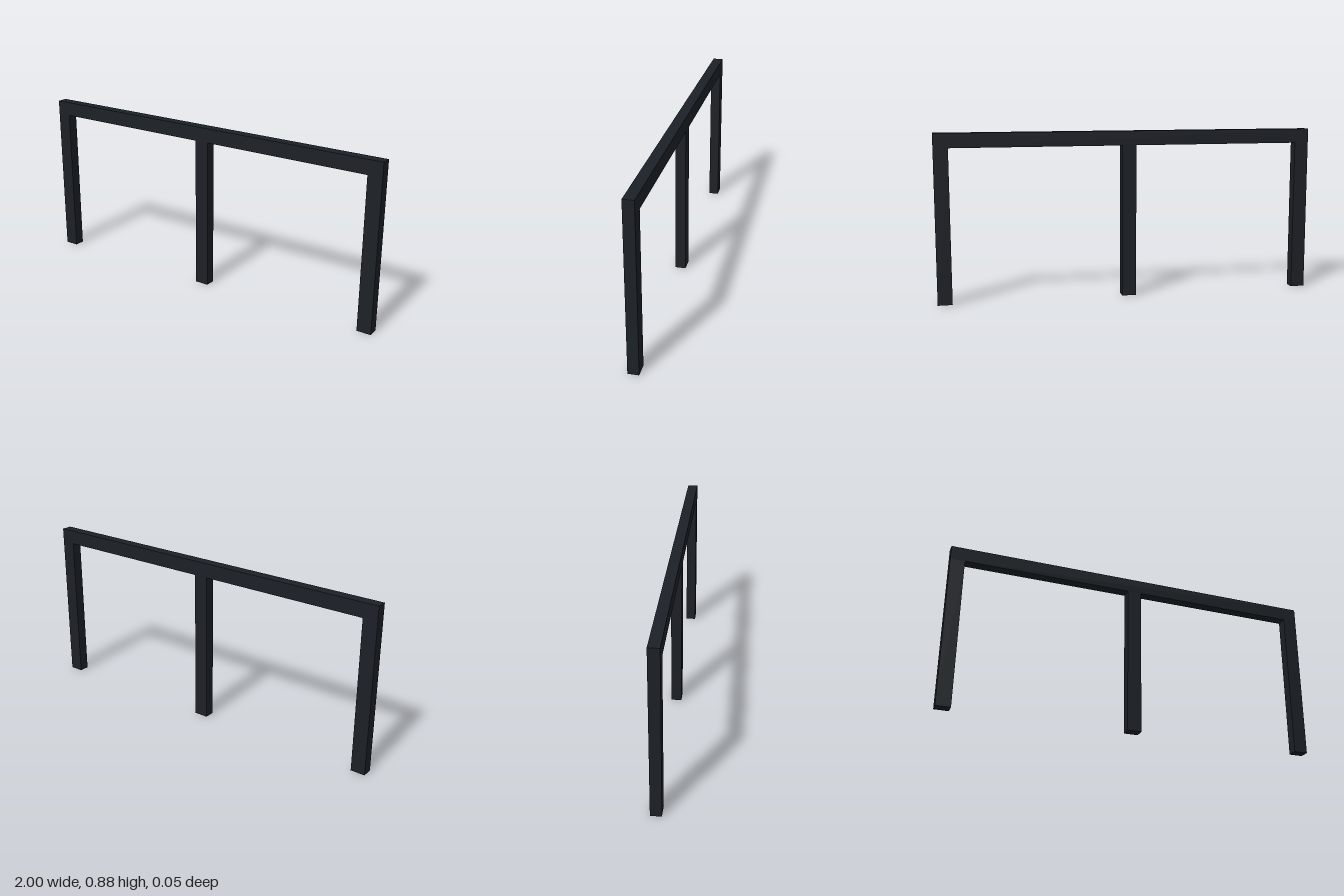
import * as THREE from 'three';

const LENGTH = 2, HEIGHT = 0.875, BAR = 0.075, DEPTH = 0.055;

export function createModel() {
  const group = new THREE.Group();
  group.name = 'frame';
  const material = new THREE.MeshStandardMaterial({ color: 0x1c2127 });

  const addBar = (name, width, height, x, y) => {
    const bar = new THREE.Mesh(new THREE.BoxGeometry(width, height, DEPTH), material);
    bar.name = name;
    bar.position.set(x, y, 0);
    group.add(bar);
  };

  // Top rail across the full length
  addBar('topRail', LENGTH, BAR, 0, HEIGHT - BAR / 2);

  // Three posts standing under the rail
  const postHeight = HEIGHT - BAR;
  const end = (LENGTH - BAR) / 2;
  for (const [name, x] of [['rightPost', -end], ['middlePost', 0], ['leftPost', end]]) {
    addBar(name, BAR, postHeight, x, postHeight / 2);
  }

  return group;
}
